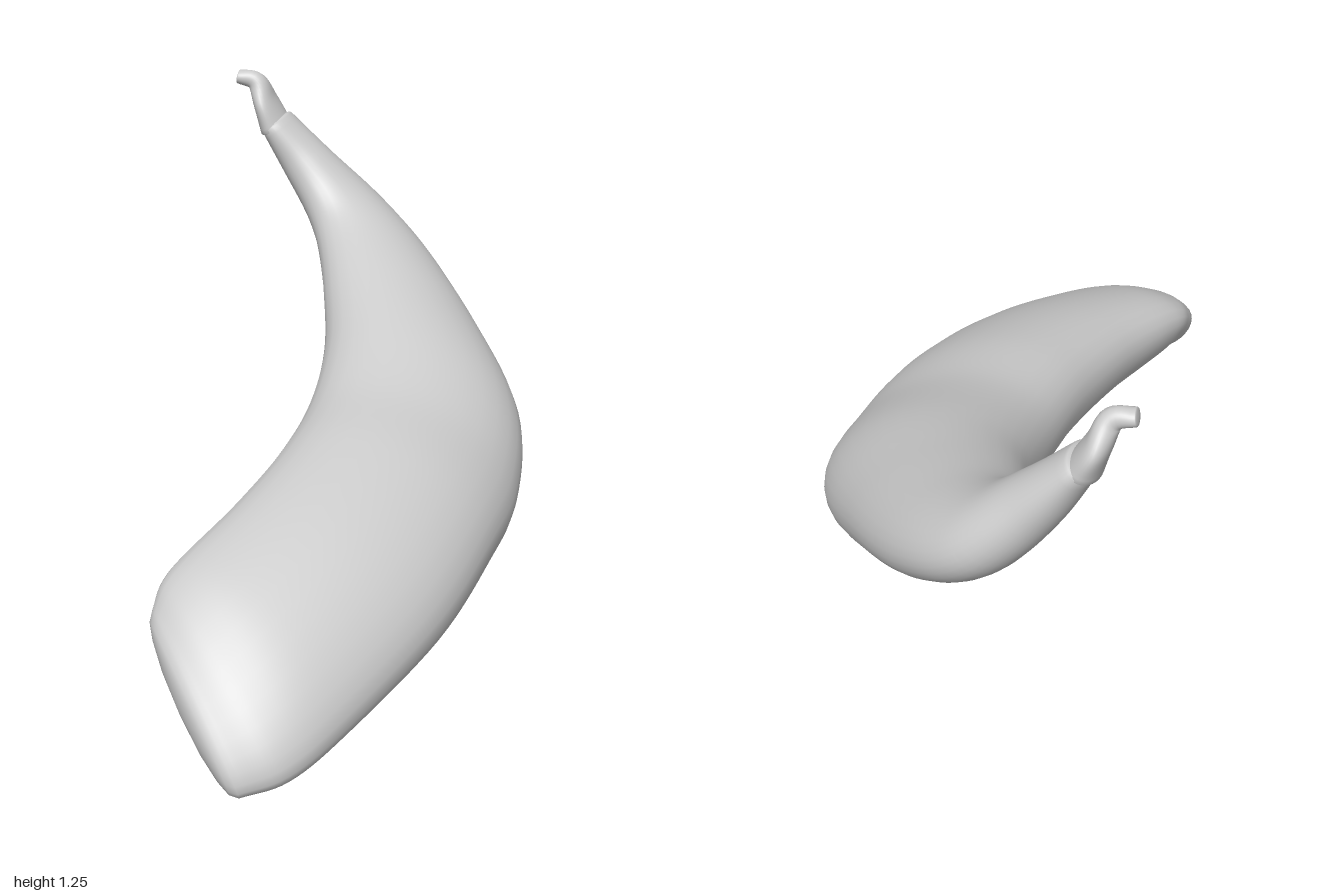
import * as THREE from 'three';

const SIDES = 32;

// Stations: [inner edge x, y, z, outer edge x, y, z, half thickness]
const BODY = [
  [-0.36, 0.315, 0.69, -0.09, 0.005, 0.99, 0.08],
  [-0.35, 0.36, 0.63, 0.02, 0.03, 0.94, 0.105],
  [-0.315, 0.395, 0.55, 0.13, 0.075, 0.79, 0.135],
  [-0.23, 0.44, 0.36, 0.31, 0.16, 0.45, 0.168],
  [-0.155, 0.485, 0.12, 0.405, 0.23, 0.14, 0.188],
  [-0.115, 0.53, -0.13, 0.445, 0.265, -0.12, 0.192],
  [-0.11, 0.615, -0.37, 0.425, 0.375, -0.38, 0.182],
  [-0.145, 0.715, -0.57, 0.28, 0.525, -0.64, 0.145],
  [-0.185, 0.805, -0.72, 0.105, 0.67, -0.87, 0.115],
  [-0.225, 0.885, -0.79, -0.06, 0.80, -0.99, 0.093],
  [-0.29, 0.975, -0.83, -0.22, 0.965, -0.985, 0.07],
  [-0.36, 1.08, -0.84, -0.33, 1.09, -0.975, 0.044],
];
const STEM = [
  [-0.36, 1.07, -0.84, -0.34, 1.08, -0.975, 0.042],
  [-0.385, 1.145, -0.845, -0.375, 1.15, -0.975, 0.032],
  [-0.41, 1.205, -0.875, -0.40, 1.21, -0.93, 0.028],
  [-0.457, 1.222, -0.875, -0.457, 1.222, -0.925, 0.02],
];

// Lofts flattened oval rings through the stations, with rounded ends
function loft(stations, steps, startBulge, endBulge) {
  const curve = (f) => new THREE.CatmullRomCurve3(stations.map(f), false, 'catmullrom', 0.5);
  const inner = curve((s) => new THREE.Vector3(s[0], s[1], s[2]));
  const outer = curve((s) => new THREE.Vector3(s[3], s[4], s[5]));
  const thick = curve((s) => new THREE.Vector3(s[6], 0, 0));
  const centre = (t) => inner.getPoint(t).add(outer.getPoint(t)).multiplyScalar(0.5);
  const positions = [];
  const index = [];

  const ring = (t, scale, shift) => {
    const along = centre(Math.min(1, t + 0.05)).sub(centre(Math.max(0, t - 0.05))).normalize();
    const wide = outer.getPoint(t).sub(inner.getPoint(t)).multiplyScalar(0.5);
    const thin = along.clone().cross(wide).normalize().multiplyScalar(thick.getPoint(t).x);
    const c = centre(t).addScaledVector(along, shift);
    for (let j = 0; j < SIDES; j++) {
      const a = (j / SIDES) * Math.PI * 2;
      const p = c.clone()
        .addScaledVector(wide, Math.cos(a) * scale)
        .addScaledVector(thin, Math.sin(a) * scale);
      positions.push(p.x, p.y, p.z);
    }
  };

  const cap = [0.001, 0.45, 0.75, 0.92];
  const bulge = (s, depth) => depth * Math.sqrt(1 - s * s);
  cap.forEach((s) => ring(0, s, -bulge(s, startBulge)));
  for (let i = 0; i <= steps; i++) ring(i / steps, 1, 0);
  [...cap].reverse().forEach((s) => ring(1, s, bulge(s, endBulge)));

  const rings = positions.length / 3 / SIDES;
  for (let i = 0; i < rings - 1; i++) {
    for (let j = 0; j < SIDES; j++) {
      const k = (j + 1) % SIDES;
      const a = i * SIDES + j, b = i * SIDES + k;
      index.push(a, b, a + SIDES, b, b + SIDES, a + SIDES);
    }
  }
  const geometry = new THREE.BufferGeometry();
  geometry.setAttribute('position', new THREE.Float32BufferAttribute(positions, 3));
  geometry.setIndex(index);
  geometry.computeVertexNormals();
  return geometry;
}

export function createModel() {
  const group = new THREE.Group();
  group.name = 'curvedFruit';
  const material = new THREE.MeshStandardMaterial({ color: 0xcccccc });
  const add = (name, geometry) => {
    const mesh = new THREE.Mesh(geometry, material);
    mesh.name = name;
    group.add(mesh);
  };

  // Broad flattened body that bends back and sweeps up
  add('body', loft(BODY, 77, 0.045, 0.015));
  // Short crooked stem
  add('stem', loft(STEM, 18, 0.01, 0.004));
  return group;
}
